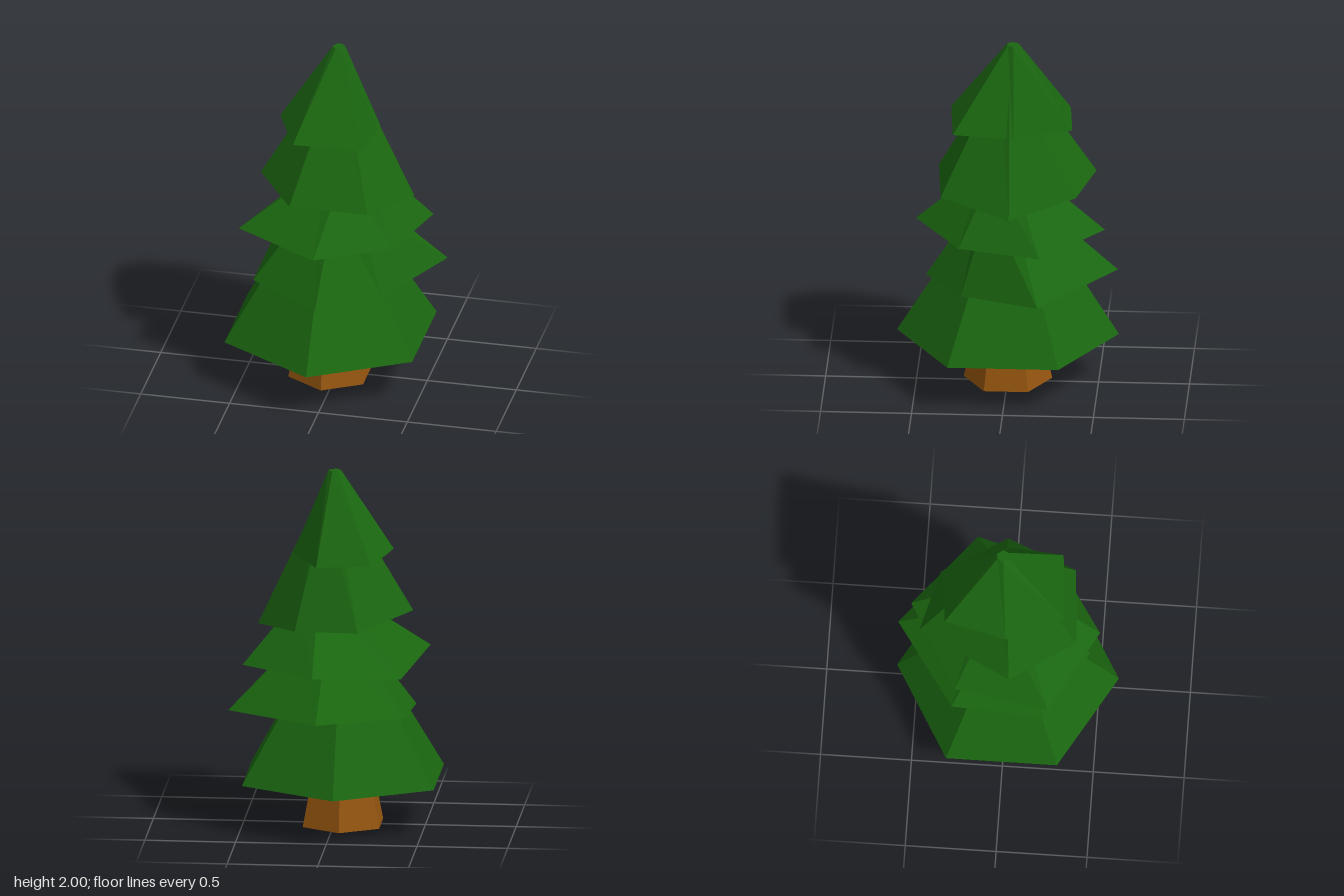
import * as THREE from 'three';

const green = new THREE.MeshStandardMaterial({ color: 0x1a6610, flatShading: true });
const brown = new THREE.MeshStandardMaterial({ color: 0x95550f, flatShading: true });

// Average of a ring of points
function middle(ring) {
  const c = new THREE.Vector3();
  ring.forEach((p) => c.add(p));
  return c.divideScalar(ring.length);
}

// Skin a list of rings, from the inside of the hollow up to the tip; a ring of one point closes an end
function loft(rings) {
  const points = [];
  for (let r = 0; r < rings.length - 1; r++) {
    const low = rings[r], high = rings[r + 1];
    const n = Math.max(low.length, high.length);
    for (let i = 0; i < n; i++) {
      const a = low[i % low.length], b = low[(i + 1) % low.length];
      const c = high[(i + 1) % high.length], d = high[i % high.length];
      if (low.length > 1) points.push(a, b, d);
      if (high.length > 1) points.push(b, c, d);
    }
  }
  const geometry = new THREE.BufferGeometry().setFromPoints(points);
  geometry.computeVertexNormals();
  return geometry;
}

// One skirt of branches: uneven rim, small top ring [x, y, z, radius], hollow underside
function foliage(name, rimPoints, [tx, ty, tz, radius]) {
  const rim = rimPoints.map((p) => new THREE.Vector3(...p));
  const centre = middle(rim);
  const top = rim.map((p) => {
    const dir = p.clone().sub(centre).setY(0).normalize();
    return new THREE.Vector3(tx, ty, tz).addScaledVector(dir, radius);
  });
  const hollow = rim.map((p) => {
    const q = centre.clone().lerp(p, 0.26);
    q.y += 0.13;
    return q;
  });
  const mesh = new THREE.Mesh(loft([[middle(hollow)], hollow, rim, top, [middle(top)]]), green);
  mesh.name = name;
  return mesh;
}

export function createModel() {
  const tree = new THREE.Group();
  tree.name = 'tree';

  // Tapered six-sided trunk
  const trunk = new THREE.Mesh(new THREE.CylinderGeometry(0.157, 0.243, 0.42, 6), brown);
  trunk.position.set(-0.045, 0.21, 0);
  trunk.name = 'trunk';
  tree.add(trunk);

  // Regular bottom skirt
  const bottomRim = [];
  for (let i = 0; i < 6; i++) {
    const a = Math.PI / 2 - (i * Math.PI) / 3;
    bottomRim.push([-0.045 + 0.61 * Math.cos(a), 0.27, 0.61 * Math.sin(a)]);
  }
  tree.add(foliage('bottomFoliage', bottomRim, [-0.045, 0.9, 0, 0.22]));

  // Tilted, uneven skirts above it; rims run right round from +x by way of the back
  tree.add(foliage('lowerFoliage', [
    [0.57, 0.67, -0.195], [0.05, 0.695, -0.61], [-0.415, 0.67, -0.285],
    [-0.43, 0.63, 0.22], [-0.03, 0.607, 0.45], [0.3, 0.62, 0.24],
  ], [0.015, 1.1, 0, 0.14]));

  tree.add(foliage('middleFoliage', [
    [0.49, 0.93, -0.2], [0.075, 0.94, -0.54], [-0.39, 0.885, -0.27],
    [-0.505, 0.957, 0.25], [-0.03, 0.943, 0.505], [0.365, 0.93, 0.25],
  ], [0.065, 1.3, 0, 0.125]));

  tree.add(foliage('upperFoliage', [
    [0.42, 1.125, -0.03], [0.185, 1.17, -0.385], [-0.17, 1.19, -0.48],
    [-0.43, 1.203, 0.03], [-0.19, 1.197, 0.387], [0.24, 1.18, 0.355],
  ], [0.015, 1.85, -0.015, 0.068]));

  tree.add(foliage('topFoliage', [
    [0.225, 1.53, -0.045], [0.07, 1.525, -0.36], [-0.235, 1.535, -0.335],
    [-0.325, 1.555, 0.005], [-0.185, 1.547, 0.32], [0.195, 1.535, 0.29],
  ], [-0.003, 2, -0.03, 0.035]));

  return tree;
}
